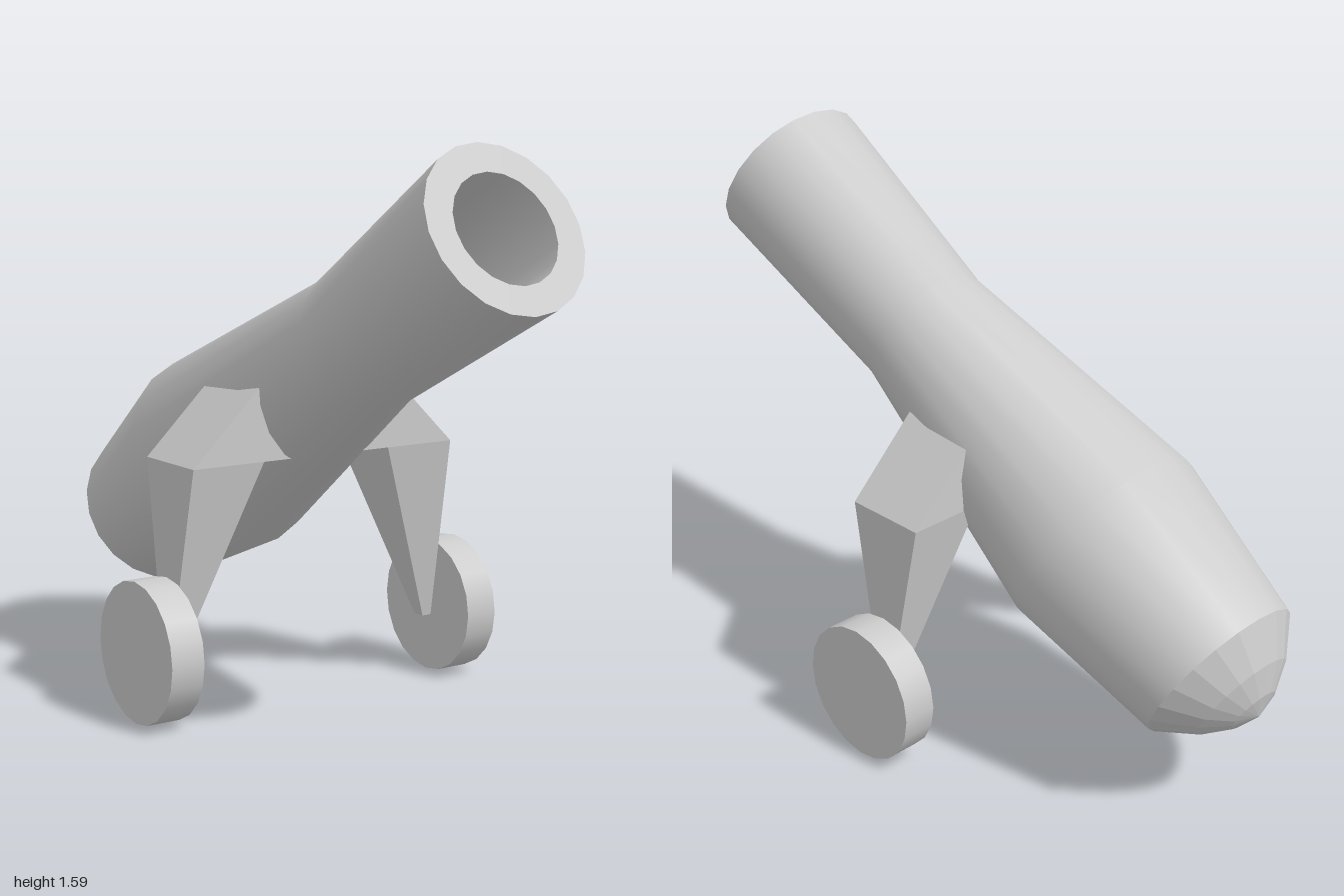
import * as THREE from 'three';

const SIDES = 20;

function material(flat = false) {
  return new THREE.MeshStandardMaterial({ color: 0xcccccc, flatShading: flat });
}

// Revolve [radius, height] pairs around the barrel axis
function turned(name, profile, flat) {
  const points = profile.map(([r, h]) => new THREE.Vector2(r, h));
  const mesh = new THREE.Mesh(new THREE.LatheGeometry(points, SIDES), material(flat));
  mesh.name = name;
  return mesh;
}

// Strut lofted through rectangular sections: [inner x, inner y, outer x, outer y, half depth]
function strutGeometry(side) {
  const sections = [
    [0.42, 0.17, 0.45, 0.17, 0.02],
    [0.21, 0.715, 0.435, 0.715, 0.125],
    [0.06, 0.715, 0.16, 0.985, 0.125],
  ];
  const positions = [];
  const index = [];
  for (const [xi, yi, xo, yo, d] of sections) {
    positions.push(
      side * xi, yi, d, side * xo, yo, d,
      side * xo, yo, -d, side * xi, yi, -d
    );
  }
  const quad = (a, b, c, d) => {
    if (side > 0) index.push(a, b, c, a, c, d);
    else index.push(a, c, b, a, d, c);
  };
  for (let s = 0; s < sections.length - 1; s++) {
    for (let k = 0; k < 4; k++) {
      const a = s * 4 + k;
      const b = s * 4 + ((k + 1) % 4);
      quad(a, b, b + 4, a + 4);
    }
  }
  quad(3, 2, 1, 0);
  quad(8, 9, 10, 11);
  const indexed = new THREE.BufferGeometry();
  indexed.setAttribute('position', new THREE.Float32BufferAttribute(positions, 3));
  indexed.setIndex(index);
  const geometry = indexed.toNonIndexed();
  geometry.computeVertexNormals();
  return geometry;
}

export function createModel() {
  const model = new THREE.Group();
  model.name = 'cannon';

  // Tilted barrel, its origin at the centre of the rear rim
  const barrel = new THREE.Group();
  barrel.name = 'barrel';
  barrel.add(
    turned('breechCap', [[0, -0.16], [0.075, -0.138], [0.152, -0.091], [0.244, 0]], true),
    turned('barrelBody', [[0.244, 0], [0.309, 0.482], [0.202, 1.302], [0.237, 1.975]]),
    turned('muzzleRing', [[0.237, 1.975], [0.155, 1.975]]),
    turned('bore', [[0.155, 1.975], [0.155, 1.125]]),
    turned('boreEnd', [[0.155, 1.125], [0, 1.125]])
  );
  barrel.position.set(0, 0.4125, -0.845);
  barrel.rotation.x = THREE.MathUtils.degToRad(60.6);
  model.add(barrel);

  // Strut and wheel on each side
  for (const side of [1, -1]) {
    const prefix = side > 0 ? 'left' : 'right';

    const strut = new THREE.Mesh(strutGeometry(side), material(true));
    strut.name = prefix + 'Strut';
    strut.position.z = -0.01;

    const wheel = new THREE.Mesh(new THREE.CylinderGeometry(0.2, 0.2, 0.1, SIDES), material());
    wheel.name = prefix + 'Wheel';
    wheel.rotation.z = Math.PI / 2;
    wheel.position.set(side * 0.5, 0.2, -0.01);

    model.add(strut, wheel);
  }
  return model;
}
